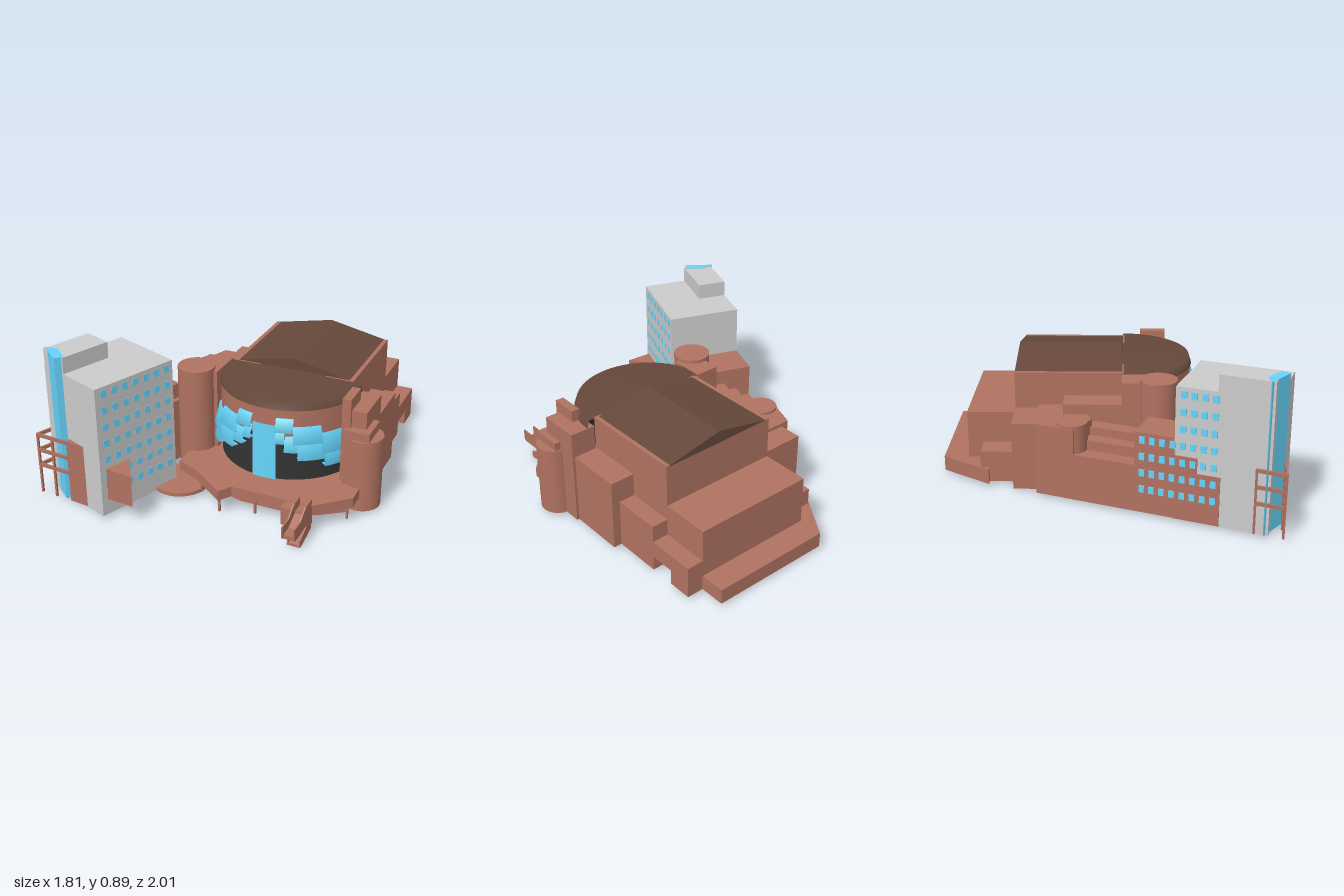
import * as THREE from 'three';

const mat = (color, side = THREE.FrontSide) => new THREE.MeshStandardMaterial({ color, side });
const brick = mat(0xb07261);
const grey = mat(0xcccccc);
const blue = mat(0x66d4fa, THREE.DoubleSide);
const roofDark = mat(0x66483b, THREE.DoubleSide);
const black = mat(0x333333, THREE.DoubleSide);
const brickThin = mat(0xb07261, THREE.DoubleSide);
const G = 0.02; // ground floor level

export function createModel() {
  const root = new THREE.Group();

  const add = (name, geo, m = brick, parent = root) => {
    const mesh = new THREE.Mesh(geo, m);
    mesh.name = name;
    parent.add(mesh);
    return mesh;
  };
  // box from its extents
  const box = (name, x0, x1, y0, y1, z0, z1, m, parent) =>
    add(name, new THREE.BoxGeometry(x1 - x0, y1 - y0, z1 - z0), m, parent)
      .position.set((x0 + x1) / 2, (y0 + y1) / 2, (z0 + z1) / 2);
  // vertical prism over a plan outline of [x, z] points
  const prism = (name, pts, y0, y1, m) => {
    const s = new THREE.Shape(pts.map(([x, z]) => new THREE.Vector2(x, -z)));
    const g = new THREE.ExtrudeGeometry(s, { depth: y1 - y0, bevelEnabled: false });
    g.rotateX(-Math.PI / 2).translate(0, y0, 0);
    return add(name, g, m);
  };
  // prism along x over a side outline of [z, y] points
  const sidePrism = (name, pts, x0, x1, m) => {
    const s = new THREE.Shape(pts.map(([z, y]) => new THREE.Vector2(-z, y)));
    const g = new THREE.ExtrudeGeometry(s, { depth: x1 - x0, bevelEnabled: false });
    g.rotateY(Math.PI / 2).translate(x0, 0, 0);
    g.scale(1, 1, 1);
    // rotation sends shape x to -z
    return add(name, g, m);
  };
  const cyl = (name, x, z, r, y0, y1, m = brick, n = 40) =>
    add(name, new THREE.CylinderGeometry(r, r, y1 - y0, n), m).position.set(x, (y0 + y1) / 2, z);

  // --- Auditorium block and stepped rear ---
  box('auditorium', -0.08, 0.65, G, 0.65, -0.56, 0.08);
  box('rearTier', -0.08, 0.65, G, 0.4, -0.85, -0.56);
  prism('rearBase', [[-0.08, -1], [0.65, -1], [0.65, -0.56], [-0.23, -0.56], [-0.23, -0.71], [-0.27, -0.71]], G, 0.11);
  box('rearSideTier', 0.65, 0.75, 0.11, 0.21, -0.85, -0.56);
  box('rearSideBase', 0.65, 0.75, G, 0.11, -0.85, -0.71);
  box('sideTier', 0.65, 0.75, G, 0.31, -0.56, -0.27);
  box('sideBlock', 0.65, 0.8, G, 0.45, -0.27, 0.07);

  // gabled roof
  const gable = new THREE.Shape([[-0.08, 0.645], [0.65, 0.645], [0.285, 0.72]].map(p => new THREE.Vector2(...p)));
  add('gableRoof', new THREE.ExtrudeGeometry(gable, { depth: 0.63, bevelEnabled: false }), roofDark).position.z = -0.56;

  // --- Left flank blocks ---
  box('flankLow', -0.23, -0.08, 0.1, 0.21, -0.76, -0.56);
  box('flankMid', -0.33, -0.08, G, 0.43, -0.56, -0.42);
  prism('flankBody', [[-0.38, -0.42], [-0.08, -0.42], [-0.08, 0.1], [-0.23, 0.1], [-0.23, -0.13], [-0.3, -0.1], [-0.462, -0.2]], G, 0.45);
  box('flankUpper', -0.23, -0.08, G, 0.51, -0.27, 0.07);
  cyl('flankTurret', -0.365, -0.21, 0.09, G, 0.465, brick, 24);

  // --- Stair towers beside the drum ---
  cyl('leftTower', -0.23, 0.28, 0.108, G, 0.67);
  box('leftTowerLink', -0.25, -0.1, G, 0.65, 0.07, 0.28);
  cyl('rightTower', 0.795, 0.28, 0.108, G, 0.45);
  box('rightTowerLink', 0.66, 0.815, G, 0.6, 0.07, 0.2);
  box('rightStepHigh', 0.68, 0.73, G, 0.67, 0.18, 0.34);
  box('rightStepMid', 0.7, 0.815, G, 0.6, 0.19, 0.32);
  box('rightStepLow', 0.7, 0.85, G, 0.5, 0.19, 0.37);

  // --- Curved foyer drum, phi = 0 faces the front ---
  const arc = (name, pts, from, to, m) => {
    const g = new THREE.LatheGeometry(pts.map(p => new THREE.Vector2(...p)), Math.max(4, Math.ceil((to - from) * 16)), from, to - from);
    add(name, g, m).position.set(0.285, 0, 0.07);
  };
  const H = Math.PI / 2;
  arc('foyerGlass', [[0.41, 0.15], [0.41, 0.48]], -H, H, black);
  arc('foyerWall', [[0.413, 0.44], [0.413, 0.6]], -H, H, brickThin);
  arc('foyerRoof', [[0.42, 0.6], [0.405, 0.648], [0, 0.652]], -H, H, roofDark);
  arc('centreGlazing', [[0.41, 0.5], [0.42, 0.5], [0.42, 0.16]], -0.165, 0.165, blue);
  // stepped sloping glass canopies: [phi from, phi to, bottom, top]
  const canopies = [
    [0.165, 0.39, 0.48, 0.55], [0.165, 0.28, 0.41, 0.48], [0.28, 0.45, 0.36, 0.44],
    [0.39, 0.76, 0.41, 0.5], [0.45, 0.8, 0.31, 0.41],
    [0.76, 1.4, 0.34, 0.45], [0.8, 1.4, 0.26, 0.35],
  ];
  for (const [a, b, y0, y1] of canopies) {
    const profile = [[0.41, y0], [0.455, y0], [0.425, y1], [0.41, y1]];
    arc('canopyLeft', profile, a, b, blue);
    arc('canopyRight', profile, -b, -a, blue);
  }

  // --- Terrace, its base wall and posts ---
  prism('terrace', [[-0.23, 0.52], [-0.08, 0.585], [0.115, 0.73], [0.165, 0.655], [0.64, 0.655], [0.815, 0.49], [0.815, 0.08], [-0.23, 0.08]], 0.105, 0.165);
  prism('terraceBase', [[-0.2, 0.4], [0.0, 0.5], [0.17, 0.56], [0.45, 0.56], [0.62, 0.52], [0.76, 0.42], [0.76, 0], [-0.2, 0]], G, 0.106);
  for (const [x, z] of [[-0.07, 0.56], [0.11, 0.7], [0.3, 0.64], [0.48, 0.64], [0.78, 0.48]])
    box('terracePost', x - 0.006, x + 0.006, G, 0.106, z - 0.006, z + 0.006);
  cyl('entranceDisc', -0.23, 0.51, 0.167, G, 0.042, brick, 48);

  // --- Outside stairs ---
  box('stairLanding', 0.49, 0.64, 0.055, 0.16, 0.65, 0.73);
  sidePrism('upperFlight', [[0.73, 0.09], [0.73, 0.15], [0.82, 0.11], [0.89, 0.11], [0.89, 0.085], [0.81, 0.085]], 0.565, 0.64, brick);
  for (const x of [0.565, 0.632]) {
    sidePrism('upperParapet', [[0.66, 0.14], [0.66, 0.21], [0.74, 0.21], [0.82, 0.16], [0.9, 0.16], [0.9, 0.09], [0.81, 0.09], [0.73, 0.14]], x, x + 0.008, brick);
    sidePrism('lowerParapet', [[0.66, 0.03], [0.66, 0.08], [0.72, 0.08], [0.82, 0.04], [0.82, 0], [0.79, 0]], x, x + 0.008, brick);
  }
  sidePrism('lowerFlight', [[0.66, 0.03], [0.66, 0.05], [0.72, 0.05], [0.82, 0.015], [0.82, 0], [0.79, 0]], 0.565, 0.64, brick);

  // --- Angled annex: local z runs along the wing, local x points inward ---
  const annex = new THREE.Group();
  annex.name = 'annex';
  annex.position.set(-0.38, 0, -0.42);
  annex.rotation.y = -0.363;
  root.add(annex);
  const abox = (n, x0, x1, y0, y1, z0, z1, m) => box(n, x0, x1, y0, y1, z0, z1, m, annex);
  abox('wingOuter', 0, 0.09, G, 0.3, 0.2, 0.62);
  abox('wingMiddle', 0.09, 0.17, G, 0.36, 0.2, 0.64);
  abox('wingInner', 0.17, 0.26, G, 0.41, 0.22, 0.7);
  abox('officeBlock', 0, 0.23, G, 0.5, 0.6, 0.84);
  abox('towerSideBrick', -0.004, 0.05, G, 0.4, 0.83, 0.96);
  abox('towerSideBrick', -0.004, 0.05, G, 0.31, 0.96, 1.09);
  abox('officeTower', 0, 0.445, G, 0.795, 0.83, 1.362, grey);
  abox('towerHead', 0.001, 0.175, 0.79, 0.89, 1.06, 1.361, grey);
  for (let r = 0; r < 7; r++) {
    const y = 0.165 + r * 0.098;
    // inward face
    for (let c = 0; c < 7; c++) {
      const z = 0.875 + c * 0.072;
      abox('towerWindow', 0.44, 0.448, y - 0.02, y + 0.02, z - 0.018, z + 0.018, blue);
    }
    // outer face, continuing along the low office block
    for (let c = 0; c < 8; c++) {
      const z = 0.645 + c * 0.058;
      if (c < 4 && y > 0.47) continue;
      abox('sideWindow', -0.008, 0.01, y - 0.02, y + 0.02, z - 0.016, z + 0.016, blue);
    }
  }

  // glazed prow, brick wedges and open frame at the annex end
  prism('glassProw', [[-0.87, 0.83], [-0.735, 0.94], [-0.7, 0.9], [-0.79, 0.82]], G, 0.892, blue);
  prism('prowWall', [[-0.7, 0.89], [-0.7, 0.948], [-0.53, 0.966], [-0.56, 0.94]], G, 0.4, brick);
  prism('porch', [[-0.385, 0.81], [-0.27, 0.99], [-0.445, 0.975]], 0.115, 0.305, brick);
  const corner = [-0.9, 0.93];
  const ends = [[-0.7, 0.945], [-0.84, 0.775]];
  for (const [x, z] of [corner, [-0.8, 0.938], [-0.845, 0.78]])
    box('framePost', x - 0.006, x + 0.006, G, 0.4, z - 0.006, z + 0.006);
  for (const y of [0.2, 0.295, 0.39])
    for (const [x, z] of ends) {
      const dx = x - corner[0], dz = z - corner[1];
      const beam = add('frameBeam', new THREE.BoxGeometry(0.012, 0.02, Math.hypot(dx, dz)), brick);
      beam.position.set(corner[0] + dx / 2, y, corner[1] + dz / 2);
      beam.rotation.y = Math.atan2(dx, dz);
    }
  return root;
}
